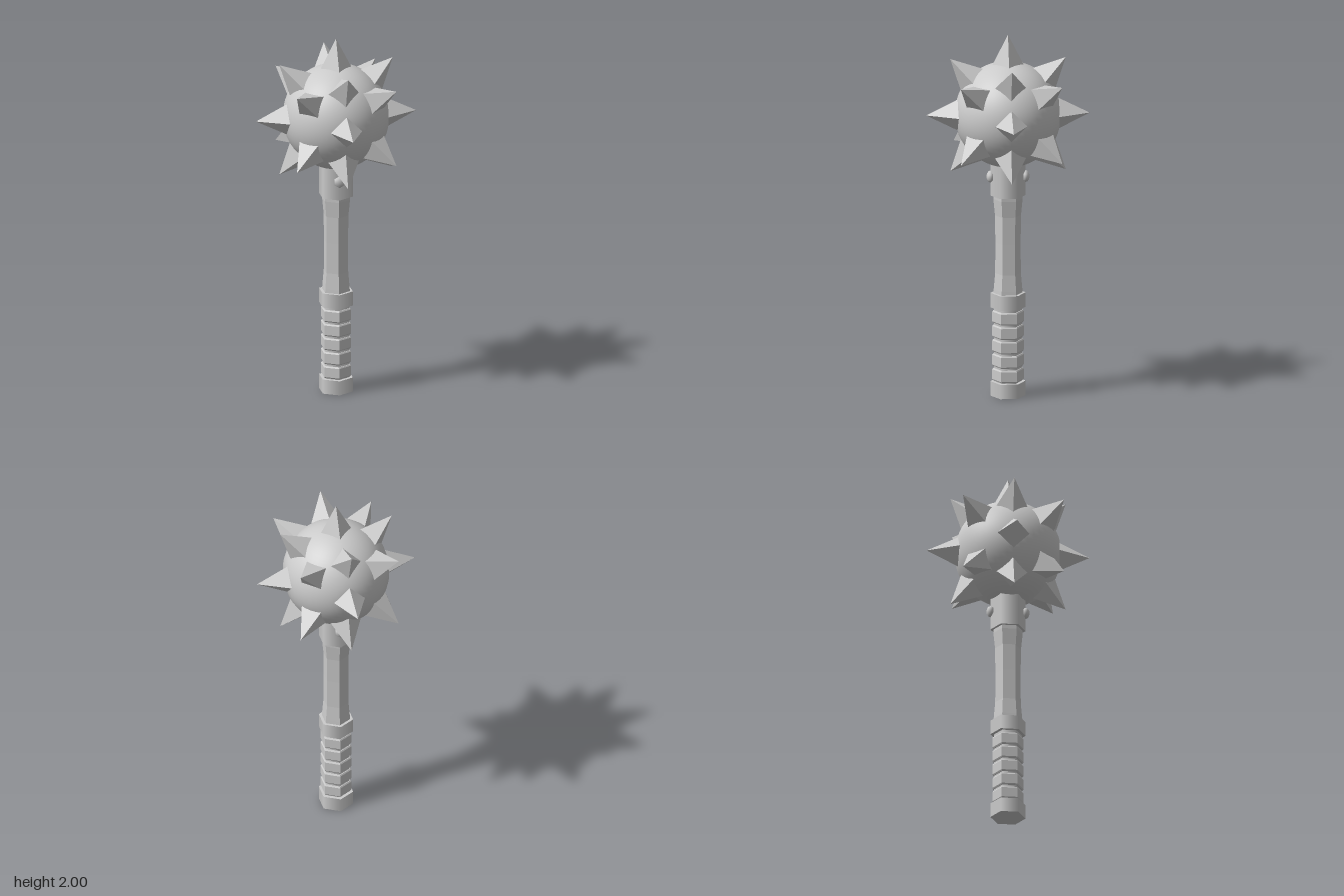
import * as THREE from 'three';

const BALL_Y = 1.56, BALL_R = 0.287;

export function createModel() {
  const mace = new THREE.Group();
  mace.name = 'spikedMace';
  const smooth = new THREE.MeshStandardMaterial({ color: 0xcccccc });
  const flat = new THREE.MeshStandardMaterial({ color: 0xcccccc, flatShading: true });

  const add = (name, geometry, material, parent = mace) => {
    const mesh = new THREE.Mesh(geometry, material);
    mesh.name = name;
    parent.add(mesh);
    return mesh;
  };

  // Six-sided sleeve between two heights
  const sleeve = (name, y0, y1, radius) => {
    const mesh = add(name, new THREE.CylinderGeometry(radius, radius, y1 - y0, 6), smooth);
    mesh.position.y = (y0 + y1) / 2;
  };

  // Six-sided turned part from [radius, y] points
  const turned = (name, points) =>
    add(name, new THREE.LatheGeometry(points.map(([r, y]) => new THREE.Vector2(r, y)), 6), flat);

  sleeve('pommel', 0, 0.08, 0.095);
  sleeve('lowerCollar', 0.49, 0.57, 0.095);
  sleeve('upperCollar', 1.11, 1.34, 0.095);

  // Grip: core with five bevelled bands
  sleeve('gripCore', 0.07, 0.5, 0.075);
  for (let i = 0; i < 5; i++) {
    const y = 0.085 + i * 0.08, top = y + 0.068;
    turned('gripBand', [[0.07, y], [0.08, y], [0.085, y + 0.007], [0.085, top - 0.007], [0.08, top], [0.07, top]]);
  }

  // Waisted shaft
  turned('shaft', [[0.079, 0.56], [0.077, 0.59], [0.069, 0.68], [0.068, 0.85], [0.07, 1.0], [0.079, 1.09], [0.079, 1.12]]);

  // Rivets at front and back of the upper collar
  for (const side of [1, -1]) {
    const rivet = add('rivet', new THREE.SphereGeometry(0.034, 6, 6), smooth);
    rivet.rotation.x = Math.PI / 2;
    rivet.rotation.y = Math.PI / 6;
    rivet.scale.y = 0.65;
    rivet.position.set(0, 1.215, side * 0.094);
  }

  const head = new THREE.Group();
  head.name = 'head';
  head.position.y = BALL_Y;
  mace.add(head);

  // Ball, slightly flattened under the axis spikes
  const ball = new THREE.SphereGeometry(BALL_R, 48, 32);
  const p = ball.attributes.position;
  const clamp = (v, m) => THREE.MathUtils.clamp(v, -m, m);
  for (let i = 0; i < p.count; i++) {
    p.setXYZ(i, clamp(p.getX(i), 0.271), clamp(p.getY(i), 0.279), clamp(p.getZ(i), 0.271));
  }
  add('ball', ball, smooth, head);

  // Four-sided spike, tilted from vertical and turned about the shaft
  const spike = (tilt, turn, twist = 0) => {
    const geometry = new THREE.ConeGeometry(0.096, 0.19, 4);
    geometry.translate(0, 0.345, 0);
    geometry.rotateY(twist).rotateX(tilt).rotateY(turn);
    add('spike', geometry, flat, head);
  };

  spike(0, 0);
  const q = Math.PI / 4, rise = Math.acos(0.48);
  for (let i = 0; i < 4; i++) {
    const turn = i * Math.PI / 2;
    spike(2 * q, turn);
    spike(q, turn);
    spike(3 * q, turn);
    spike(rise, turn + q, q);
    spike(Math.PI - rise, turn + q, q);
  }
  return mace;
}
